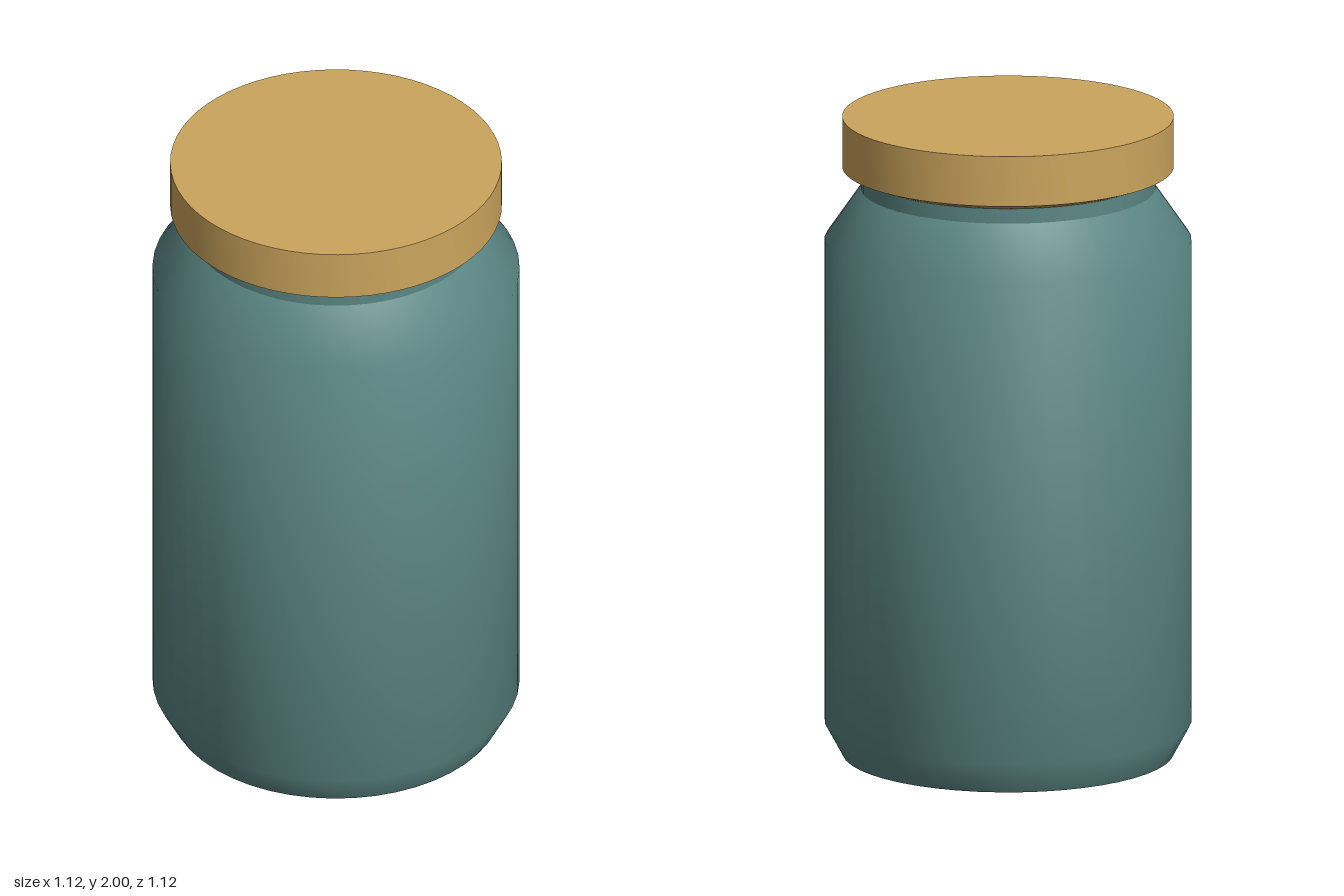
import * as THREE from 'three';
import { toCreasedNormals } from 'three/addons/utils/BufferGeometryUtils.js';

const glaze = new THREE.MeshStandardMaterial({ color: 0x5b8785 });
glaze.name = 'teal glaze';
const wood = new THREE.MeshStandardMaterial({ color: 0xcca55d });
wood.name = 'golden lid';

// Turned part from [radius, height] points, listed bottom to top
function turned(name, profile, segments, material) {
  const points = profile.map(([r, y]) => new THREE.Vector2(r, y));
  const geometry = toCreasedNormals(new THREE.LatheGeometry(points, segments), 0.8);
  const mesh = new THREE.Mesh(geometry, material);
  mesh.name = name;
  return mesh;
}

export function createModel() {
  const jar = new THREE.Group();
  jar.name = 'jar';

  // Body with chamfered foot and sloping shoulder
  jar.add(turned('body', [[0, 0], [0.506, 0], [0.56, 0.1], [0.56, 1.615], [0.45, 1.775]], 48, glaze));

  // Short straight neck
  jar.add(turned('neck', [[0.45, 1.775], [0.45, 1.83]], 48, glaze));

  // Flat lid with a bevelled underside
  jar.add(turned('lid', [[0, 1.82], [0.445, 1.82], [0.506, 1.843], [0.506, 2], [0, 2]], 64, wood));

  return jar;
}
